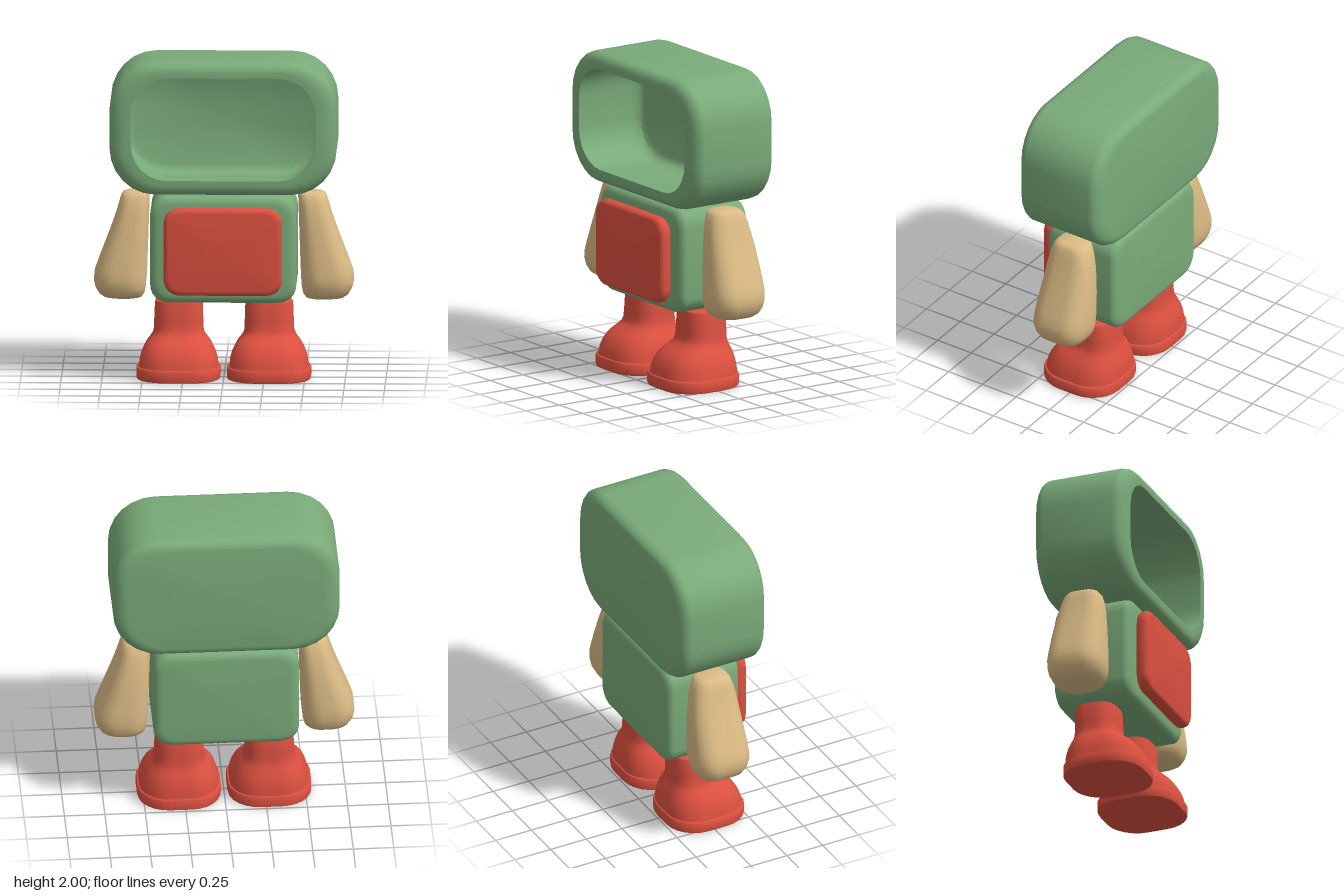
import * as THREE from 'three';
import { toCreasedNormals } from 'three/addons/utils/BufferGeometryUtils.js';

const CORNER = 7; // points per rounded corner

// Rounded-rectangle ring, counter-clockwise: row = [w, x0, x1, y0, y1]
function ring([w, x0, x1, y0, y1], kx, ky) {
  const cx = (x0 + x1) / 2, cy = (y0 + y1) / 2;
  const hx = (x1 - x0) / 2, hy = (y1 - y0) / 2;
  const pts = [];
  [[1, 1], [-1, 1], [-1, -1], [1, -1]].forEach(([sx, sy], q) => {
    for (let i = 0; i < CORNER; i++) {
      const a = (q + i / (CORNER - 1)) * Math.PI / 2;
      pts.push([
        cx + sx * hx * (1 - kx) + hx * kx * Math.cos(a),
        cy + sy * hy * (1 - ky) + hy * ky * Math.sin(a),
        w,
      ]);
    }
  });
  return pts;
}

// Skin a list of rings along z and close both ends
function loft(rows, kx, ky, crease = 0.65) {
  const n = CORNER * 4, pos = [], idx = [];
  rows.forEach((r) => ring(r, kx, ky).forEach((p) => pos.push(...p)));
  for (let i = 0; i < rows.length - 1; i++) {
    for (let j = 0; j < n; j++) {
      const a = i * n + j, b = i * n + (j + 1) % n;
      idx.push(a, b, b + n, a, b + n, a + n);
    }
  }
  const last = (rows.length - 1) * n, c = rows.length * n;
  for (const r of [rows[0], rows[rows.length - 1]]) {
    pos.push((r[1] + r[2]) / 2, (r[3] + r[4]) / 2, r[0]);
  }
  for (let j = 0; j < n; j++) {
    const k = (j + 1) % n;
    idx.push(k, j, c, last + j, last + k, c + 1);
  }
  const g = new THREE.BufferGeometry();
  g.setAttribute('position', new THREE.Float32BufferAttribute(pos, 3));
  g.setIndex(idx);
  return toCreasedNormals(g, crease);
}

// Rings of a block with rounded front and back edges
function block(z0, z1, hx, y0, y1, bx, by, bz) {
  const rows = [], steps = 5;
  for (const end of [0, 1]) {
    for (let i = 0; i <= steps; i++) {
      const a = (end ? i : steps - i) / steps * Math.PI / 2;
      const inset = 1 - Math.cos(a), out = bz * (1 - Math.sin(a));
      const x = hx - bx * inset;
      rows.push([end ? z1 - out : z0 + out, -x, x, y0 + by * inset, y1 - by * inset]);
    }
  }
  return rows;
}

// Upright loft: rows are [y, x0, x1, zBack, zFront], side -1 mirrors in x
function upright(rows, side, kx, kz) {
  const r = rows.map(([y, x0, x1, zb, zf]) =>
    [y, side > 0 ? x0 : -x1, side > 0 ? x1 : -x0, -zf, -zb]);
  return loft(r, kx, kz).rotateX(-Math.PI / 2);
}

export function createModel() {
  const model = new THREE.Group();
  model.name = 'boxHeadedFigure';
  const mat = (name, color) => {
    const m = new THREE.MeshStandardMaterial({ color });
    m.name = name;
    return m;
  };
  const green = mat('green', 0x7aab7a);
  const red = mat('red', 0xdc5040);
  const tan = mat('tan', 0xdbbb85);
  const add = (name, geometry, material) => {
    const mesh = new THREE.Mesh(geometry, material);
    mesh.name = name;
    model.add(mesh);
  };

  // Head: rounded shell, then the rim turns inward into a deep hollow
  const cavity = [
    [0.285, 0.57, 0.32], [0.284, 0.57, 0.32], [0.05, 0.585, 0.332], [-0.12, 0.6, 0.345],
    [-0.155, 0.595, 0.34], [-0.185, 0.58, 0.325], [-0.2, 0.55, 0.295],
  ].map(([z, hx, hy]) => [z, -hx, hx, 1.59 - hy, 1.59 + hy]);
  add('head', loft([...block(-0.32, 0.285, 0.7, 1.175, 2, 0.1, 0.06, 0.07), ...cavity], 0.4, 0.7), green);

  // Torso and chest panel
  add('torso', loft(block(-0.285, 0.225, 0.45, 0.495, 1.16, 0.06, 0.05, 0.045), 0.25, 0.33), green);
  add('chestPanel', loft(block(0.232, 0.316, 0.365, 0.555, 1.1, 0.03, 0.03, 0.035), 0.27, 0.35), red);

  // Arms: flared towards the hand, flat on the inner side
  const arm = [
    [0.494, 0.54, 0.69, -0.12, 0.04], [0.503, 0.51, 0.735, -0.155, 0.08],
    [0.525, 0.492, 0.766, -0.185, 0.112], [0.565, 0.482, 0.79, -0.205, 0.133],
    [0.61, 0.478, 0.801, -0.214, 0.142], [0.66, 0.475, 0.797, -0.217, 0.141],
    [0.72, 0.473, 0.776, -0.215, 0.137], [0.82, 0.469, 0.738, -0.209, 0.128],
    [0.92, 0.466, 0.7, -0.2, 0.118], [1.02, 0.462, 0.665, -0.185, 0.106],
    [1.09, 0.46, 0.645, -0.168, 0.093], [1.135, 0.458, 0.632, -0.15, 0.078],
    [1.152, 0.459, 0.62, -0.135, 0.065], [1.16, 0.467, 0.6, -0.115, 0.045],
  ];

  // Legs: straight shin swelling into a boot with a stepped sole
  const leg = [
    [0.003, 0.035, 0.525, -0.23, 0.265], [0.008, 0.024, 0.534, -0.238, 0.273],
    [0.02, 0.02, 0.538, -0.24, 0.276], [0.068, 0.02, 0.538, -0.24, 0.276],
    [0.078, 0.025, 0.533, -0.236, 0.271], [0.081, 0.034, 0.524, -0.23, 0.262],
    [0.12, 0.039, 0.518, -0.229, 0.255], [0.16, 0.05, 0.507, -0.223, 0.239],
    [0.2, 0.068, 0.49, -0.212, 0.213], [0.23, 0.085, 0.472, -0.202, 0.18],
    [0.255, 0.105, 0.452, -0.191, 0.143], [0.275, 0.12, 0.439, -0.184, 0.115],
    [0.3, 0.126, 0.432, -0.18, 0.102], [0.35, 0.128, 0.43, -0.179, 0.096],
    [0.465, 0.132, 0.425, -0.176, 0.09], [0.478, 0.136, 0.421, -0.172, 0.086],
    [0.484, 0.148, 0.409, -0.16, 0.074],
  ];
  for (const side of [1, -1]) {
    const label = side > 0 ? 'left' : 'right';
    add(label + 'Arm', upright(arm, side, 0.75, 0.65), tan);
    add(label + 'Leg', upright(leg, side, 0.75, 0.75), red);
  }
  return model;
}
